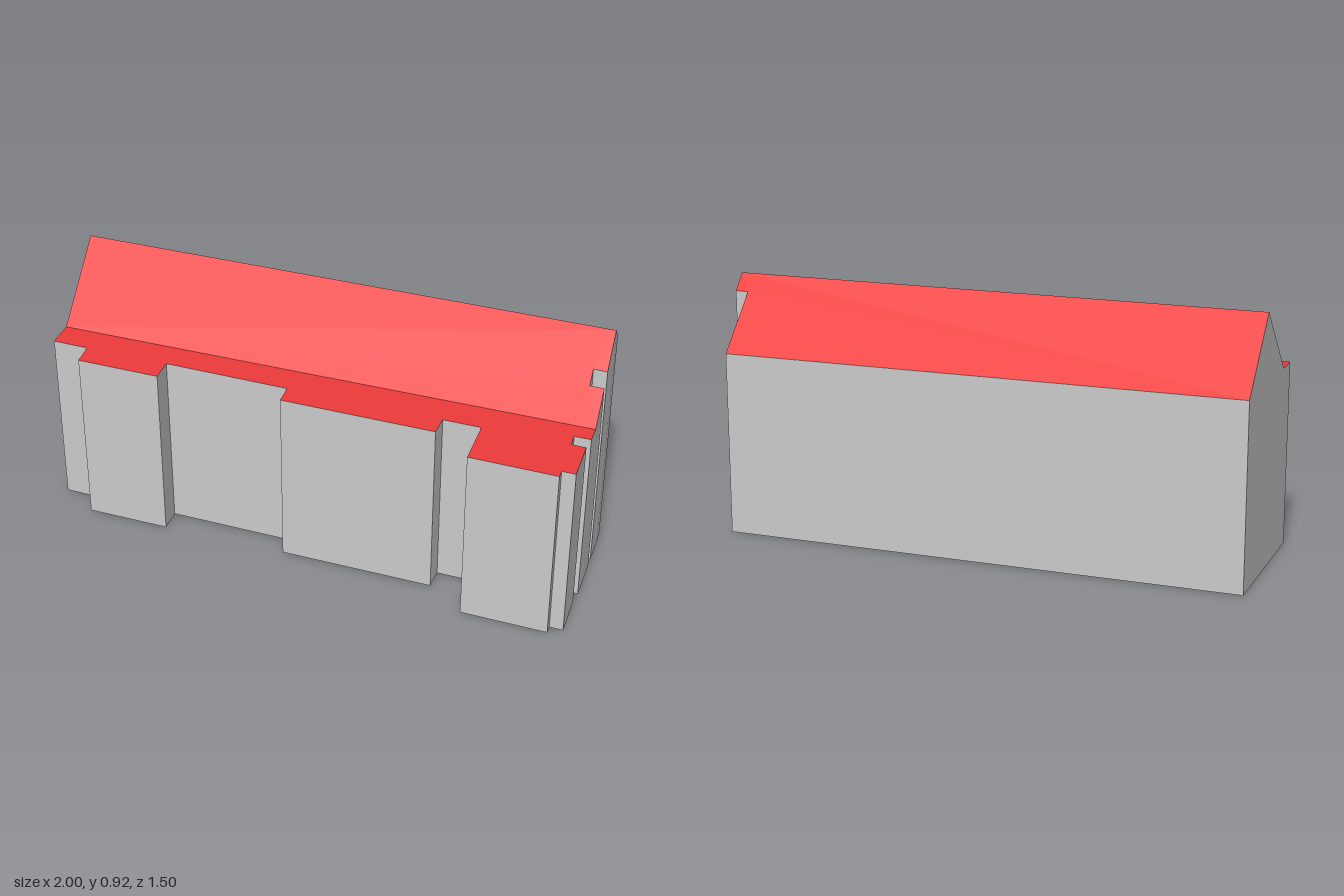
import * as THREE from 'three';

// Footprint corners [x, z], walked from the back-left corner along the back wall and round
const footprint = [
  [-0.765, -0.75], [0.997, 0.013], [0.925, 0.185], [0.97, 0.205],
  [0.95, 0.26], // 4: ridge end
  [0.91, 0.355], [0.865, 0.335], [0.848, 0.372], [0.895, 0.393],
  [0.855, 0.49], // 9: foot of the front slope
  [0.83, 0.548], [0.775, 0.525], [0.758, 0.57], [0.805, 0.592],
  [0.745, 0.74], [0.7, 0.72], [0.688, 0.748], [0.4, 0.618],
  [0.47, 0.45], [0.345, 0.395], [0.312, 0.465], [-0.203, 0.235],
  [-0.175, 0.165], [-0.595, -0.025], [-0.628, 0.055], [-0.908, -0.07],
  [-0.88, -0.15], [-1, -0.205],
  [-0.96, -0.3], // 28: foot of the front slope
  [-0.86, -0.53], // 29: ridge end
];
const RIDGE = 0.92, EAVE = 0.67, RIDGE_V = -0.142, HALF_SPAN = 0.243;

// Roof height depends only on the distance from the ridge line
function roofHeight([x, z]) {
  const v = -0.399 * x + 0.917 * z;
  return Math.max(EAVE, RIDGE - (RIDGE - EAVE) * Math.abs(v - RIDGE_V) / HALF_SPAN);
}

function makeMesh(name, positions, material) {
  const g = new THREE.BufferGeometry();
  g.setAttribute('position', new THREE.Float32BufferAttribute(positions, 3));
  g.computeVertexNormals();
  const m = new THREE.Mesh(g, material);
  m.name = name;
  return m;
}

// Fills a polygon of [x, z] points at the given heights, facing up or down
function fill(points, height, up) {
  const contour = points.map(([x, z]) => new THREE.Vector2(x, z));
  const out = [];
  for (const tri of THREE.ShapeUtils.triangulateShape(contour, [])) {
    let [a, b, c] = tri.map((i) => points[i]);
    const cross = (b[0] - a[0]) * (c[1] - a[1]) - (b[1] - a[1]) * (c[0] - a[0]);
    if ((cross < 0) !== up) [b, c] = [c, b];
    for (const p of [a, b, c]) out.push(p[0], height(p), p[1]);
  }
  return out;
}

export function createModel() {
  const group = new THREE.Group();
  group.name = 'house';
  const grey = new THREE.MeshStandardMaterial({ color: 0xcccccc, flatShading: true });
  const red = new THREE.MeshStandardMaterial({ color: 0xee3a3a, flatShading: true });

  // Walls rise from the ground to the roof surface
  const walls = [];
  footprint.forEach((a, i) => {
    const b = footprint[(i + 1) % footprint.length];
    const a0 = [a[0], 0, a[1]], a1 = [a[0], roofHeight(a), a[1]];
    const b0 = [b[0], 0, b[1]], b1 = [b[0], roofHeight(b), b[1]];
    walls.push(...a0, ...a1, ...b1, ...a0, ...b1, ...b0);
  });
  group.add(makeMesh('walls', walls, grey));
  group.add(makeMesh('floor', fill(footprint, () => 0, false), grey));

  // Two slopes meeting at the ridge, and the flat roof over the front bays
  const strips = {
    backRoofSlope: [...footprint.slice(0, 5), footprint[29]],
    frontRoofSlope: [...footprint.slice(4, 10), footprint[28], footprint[29]],
    flatRoof: footprint.slice(9, 29),
  };
  for (const [name, points] of Object.entries(strips)) {
    group.add(makeMesh(name, fill(points, roofHeight, true), red));
  }
  return group;
}
